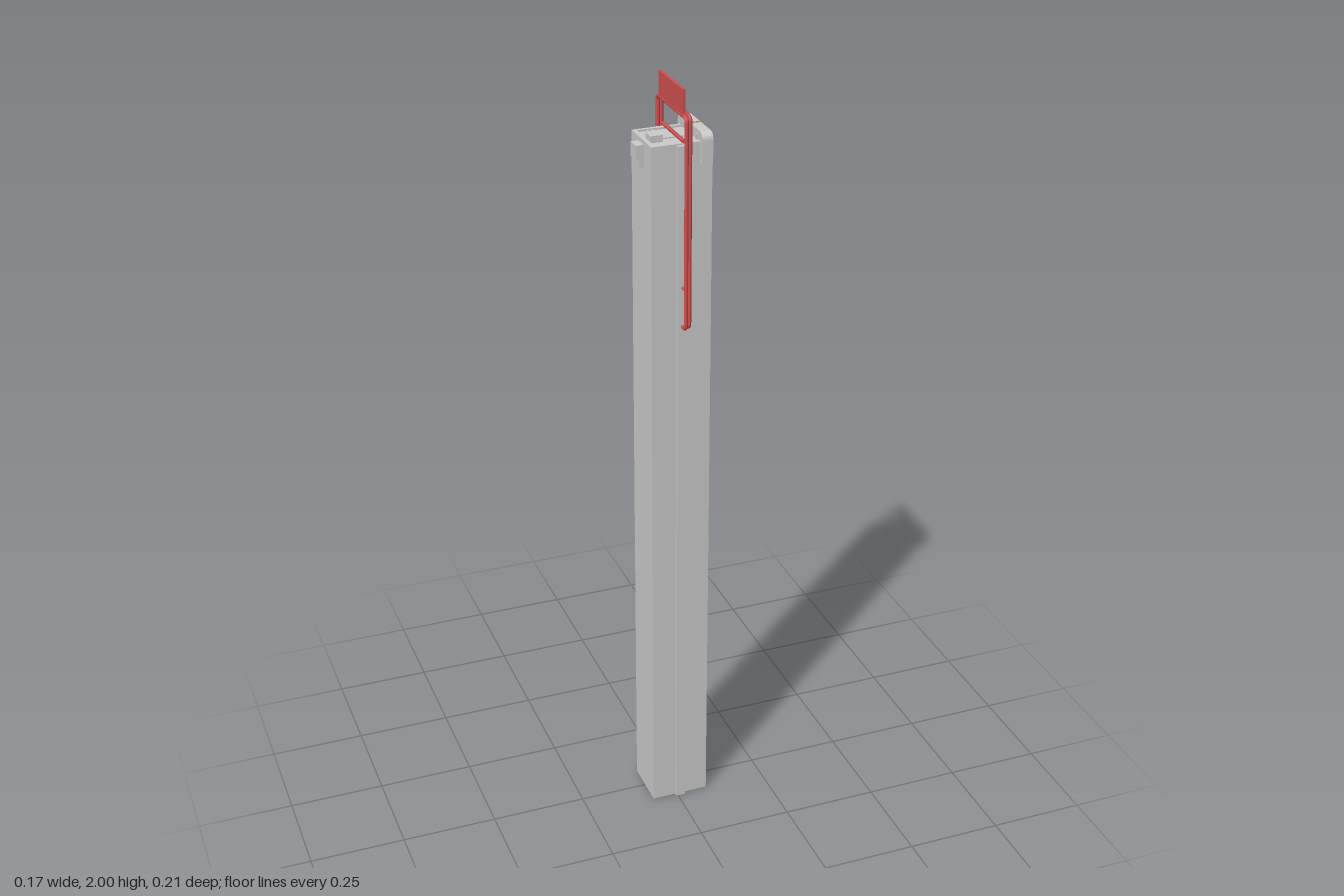
import * as THREE from 'three';

const grey = new THREE.MeshStandardMaterial({ color: 0xcccccc });
const red = new THREE.MeshStandardMaterial({ color: 0xd05050 });
const orange = new THREE.MeshStandardMaterial({ color: 0xd08840 });

export function createModel() {
  const model = new THREE.Group();

  const add = (name, geometry, material = grey) => {
    const mesh = new THREE.Mesh(geometry, material);
    mesh.name = name;
    model.add(mesh);
    return mesh;
  };
  // Box given by its limits on each axis
  const box = (name, [x0, x1], [y0, y1], [z0, z1], material) =>
    add(name, new THREE.BoxGeometry(x1 - x0, y1 - y0, z1 - z0), material)
      .position.set((x0 + x1) / 2, (y0 + y1) / 2, (z0 + z1) / 2);
  // Straight rod along z
  const rod = (name, x, y, z0, z1, r) => {
    const g = new THREE.CylinderGeometry(r, r, Math.abs(z1 - z0), 10).rotateX(Math.PI / 2);
    add(name, g, red).position.set(x, y, (z0 + z1) / 2);
  };

  // Tall column with a shallow rim round its top panel
  box('column', [-0.068, 0.085], [0, 1.861], [-0.067, 0.067]);
  box('rimLeft', [0.075, 0.085], [1.861, 1.866], [-0.067, 0.067]);
  box('rimRight', [-0.068, -0.057], [1.861, 1.866], [-0.067, 0.067]);
  for (const s of [-1, 1]) {
    box('rimSide', [-0.057, 0.075], [1.861, 1.866], s < 0 ? [-0.067, -0.058] : [0.058, 0.067]);
    // Full-height guide rib on the front and back
    box('guideRib', [-0.005, 0.02], [0, 1.863], s < 0 ? [-0.077, -0.066] : [0.066, 0.077]);
  }
  box('topBar', [-0.057, 0.055], [1.86, 1.864], [0, 0.01]);

  // Saddle clip: rounded strap over the top with a leg on each side
  const strap = new THREE.Shape();
  strap.moveTo(-0.081, 1.81);
  strap.lineTo(-0.081, 1.872);
  strap.quadraticCurveTo(-0.08, 1.887, -0.062, 1.889);
  strap.lineTo(0.062, 1.889);
  strap.quadraticCurveTo(0.08, 1.887, 0.081, 1.872);
  strap.lineTo(0.081, 1.81);
  strap.lineTo(0.067, 1.81);
  strap.lineTo(0.067, 1.865);
  strap.lineTo(-0.067, 1.865);
  strap.lineTo(-0.067, 1.81);
  strap.closePath();
  const strapGeometry = new THREE.ExtrudeGeometry(strap, { depth: 0.027, bevelEnabled: false, curveSegments: 6 });
  strapGeometry.rotateY(-Math.PI / 2);
  add('saddleClip', strapGeometry).position.x = 0.081;
  box('clipMarker', [0.053, 0.082], [1.885, 1.8905], [-0.002, 0.002], orange);
  for (const z of [-0.045, -0.015, 0.015, 0.045])
    box('clipTooth', [0.051, 0.056], [1.865, 1.878], [z - 0.003, z + 0.003]);

  // Latch on the right side
  box('latch', [-0.088, -0.068], [1.82, 1.856], [-0.017, 0.018]);
  box('latchFoot', [-0.08, -0.068], [1.8, 1.82], [-0.017, 0.018]);

  // Small connector with two prongs
  box('connector', [-0.055, -0.023], [1.86, 1.878], [-0.006, 0.027]);
  for (const x of [-0.044, -0.031])
    box('connectorProng', [x - 0.003, x + 0.003], [1.864, 1.874], [-0.027, -0.006]);

  // Two rounded wire handles, hooked into the ribs at their lower ends
  const handle = (x, zMin, zMax, r) => {
    const top = 1.936, bottom = 1.406, c = 0.012;
    const path = new THREE.CurvePath();
    const corners = [[0.07, bottom], [zMax - r, bottom], [zMax - r, top],
      [zMin + r, top], [zMin + r, bottom], [-0.07, bottom]]
      .map(([z, y]) => new THREE.Vector3(x, y, z));
    let from = corners[0];
    for (let i = 1; i < corners.length - 1; i++) {
      const p = corners[i];
      const step = (q) => p.clone().add(q.clone().sub(p).setLength(Math.min(c, q.distanceTo(p) * 0.8)));
      const a = step(corners[i - 1]), b = step(corners[i + 1]);
      path.add(new THREE.LineCurve3(from, a));
      path.add(new THREE.QuadraticBezierCurve3(a, p, b));
      from = b;
    }
    path.add(new THREE.LineCurve3(from, corners[corners.length - 1]));
    add('wireHandle', new THREE.TubeGeometry(path, 240, r, 10), red);
    for (const s of [-1, 1])
      rod('lowerLink', x, 1.508, s * 0.07, s < 0 ? zMin + r : zMax - r, 0.004);
  };
  handle(0.008, -0.098, 0.103, 0.005);
  handle(0.02, -0.105, 0.095, 0.0045);

  // Pins on the back and cross bar resting on the column
  for (const y of [1.725, 1.75]) rod('guidePin', 0.02, y, -0.07, -0.101, 0.004);
  rod('crossBar', 0.012, 1.872, -0.07, 0.07, 0.005);

  // Flag plate on the first handle, with beads on both top wires
  box('flagPlate', [0.004, 0.012], [1.938, 2], [-0.077, 0.08], red);
  for (const x of [0.008, 0.021])
    for (const z of [-0.048, 0.047])
      add('handleBead', new THREE.SphereGeometry(0.006, 10, 8), red).position.set(x, 1.937, z);

  return model;
}
